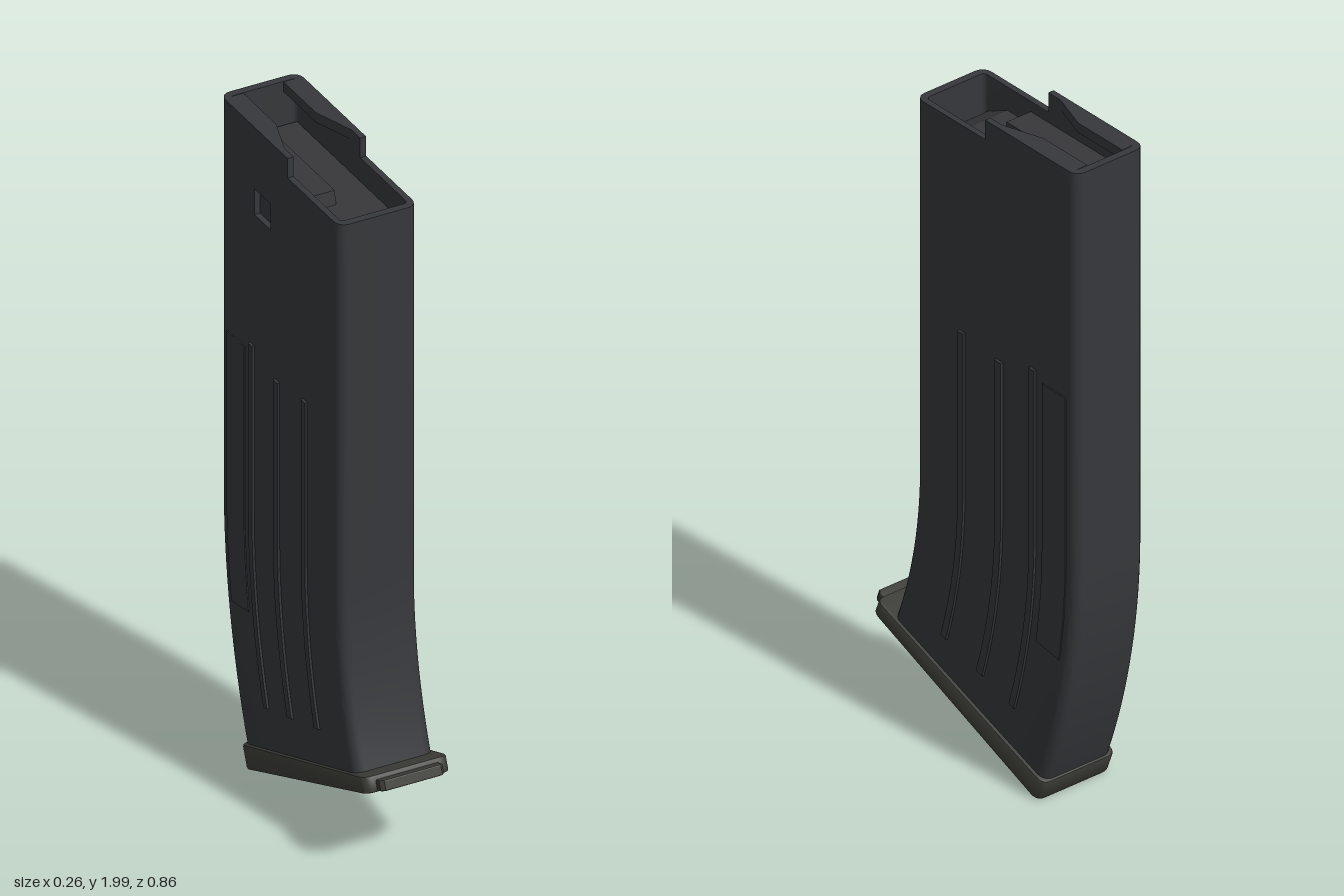
import * as THREE from 'three';
import { toCreasedNormals } from 'three/addons/utils/BufferGeometryUtils.js';

const BEND_Y = 0.81, PIVOT_Z = 1.685, MID_R = 1.78, BOTTOM = 0.17;
const TOP = 2, FRONT_TOP = 1.94, STEP_Z = -0.05;
const WINDOW = { z0: -0.235, z1: -0.145, y0: 1.73, y1: 1.81 };

// Everything is modelled straight; below BEND_Y it is swung forward about a pivot.
function bendPoint([x, y, z]) {
  if (y >= BEND_Y) return [x, y, z];
  const a = (BEND_Y - y) / MID_R, r = PIVOT_Z - z;
  return [x, BEND_Y - r * Math.sin(a), PIVOT_Z - r * Math.cos(a)];
}

function bend(geometry) {
  const p = geometry.attributes.position;
  for (let i = 0; i < p.count; i++) p.setXYZ(i, ...bendPoint([p.getX(i), p.getY(i), p.getZ(i)]));
  return geometry;
}

// Rounded rectangle in x/z with extra points along the two sides
function ring(hw, zb, zf, r) {
  const pts = [], cuts = [STEP_Z, WINDOW.z1, WINDOW.z0], n = 5;
  const corner = (cx, cz, start) => {
    for (let i = 0; i <= n; i++) {
      const t = start - (i / n) * Math.PI / 2;
      pts.push([cx + r * Math.cos(t), cz + r * Math.sin(t)]);
    }
  };
  corner(hw - r, zf - r, Math.PI / 2);
  cuts.forEach(z => pts.push([hw, z]));
  corner(hw - r, zb + r, 0);
  corner(r - hw, zb + r, -Math.PI / 2);
  cuts.slice().reverse().forEach(z => pts.push([-hw, z]));
  corner(r - hw, zf - r, -Math.PI);
  return pts;
}

// Hollow casing: outer wall, inner wall, rim, stepped mouth and side window
function casingGeometry() {
  const pos = [];
  const quad = (a, b, c, d) => [a, b, c, a, c, d].forEach(v => pos.push(...bendPoint(v)));
  const outer = ring(0.118, -0.425, 0.235, 0.03), inner = ring(0.1, -0.402, 0.212, 0.012);
  const rows = [TOP, FRONT_TOP, WINDOW.y1, WINDOW.y0, 1.3, BEND_Y];
  for (let i = 1; i <= 16; i++) rows.push(BEND_Y + (BOTTOM - BEND_Y) * i / 16);
  const N = outer.length;
  const at = (p, y) => [p[0], y, p[1]];
  for (let i = 0; i < N; i++) {
    const k = (i + 1) % N, o = outer[i], o2 = outer[k], n = inner[i], n2 = inner[k];
    const midZ = (o[1] + o2[1]) / 2, isFront = midZ > STEP_Z;
    for (let j = isFront ? 1 : 0; j < rows.length - 1; j++) {
      const y = rows[j], y2 = rows[j + 1];
      const isWindow = j === 2 && o[0] < -0.11 && midZ > WINDOW.z0 && midZ < WINDOW.z1;
      if (!isWindow) quad(at(o, y), at(o, y2), at(o2, y2), at(o2, y));
      if (j < 4) quad(at(n, y), at(n2, y), at(n2, y2), at(n, y2));
    }
    const rimY = isFront ? FRONT_TOP : TOP;
    quad(at(o, rimY), at(o2, rimY), at(n2, rimY), at(n, rimY));
    if (o[1] === STEP_Z) quad(at(o, TOP), at(o, FRONT_TOP), at(n, FRONT_TOP), at(n, TOP));
  }
  const g = new THREE.BufferGeometry();
  g.setAttribute('position', new THREE.Float32BufferAttribute(pos, 3));
  return toCreasedNormals(g, 0.6);
}

const polygon = pts => new THREE.Shape(pts.map(p => new THREE.Vector2(...p)));

// Slab drawn in x/z, extruded downward from yTop
function slab(shape, yTop, depth, bevel = 0) {
  const g = new THREE.ExtrudeGeometry(shape, {
    depth: depth - 2 * bevel, bevelEnabled: bevel > 0, bevelSize: bevel,
    bevelThickness: bevel, bevelOffset: -bevel, bevelSegments: 2, curveSegments: 8,
  });
  return g.rotateX(Math.PI / 2).translate(0, yTop - bevel, 0);
}

// Profile drawn in z/y, extruded across x from x0 to x1
function crossways(shape, x0, x1) {
  const g = new THREE.ExtrudeGeometry(shape, { depth: x1 - x0, bevelEnabled: false });
  return g.rotateY(-Math.PI / 2).translate(x1, 0, 0);
}

// Raised strip on a side wall with sloping edges, following the bend
function strip(side, z0, z1, y0, y1, height, slope) {
  const g = new THREE.BoxGeometry(0.02, y1 - y0, z1 - z0, 1, 30, 1);
  const p = g.attributes.position, h = y1 - y0, w = z1 - z0;
  for (let i = 0; i < p.count; i++) {
    if (p.getX(i) * side < 0) continue;
    p.setY(i, p.getY(i) * (1 - 2 * slope / h));
    p.setZ(i, p.getZ(i) * (1 - 2 * slope / w));
  }
  g.translate(side * (0.108 + height), (y0 + y1) / 2, (z0 + z1) / 2);
  return toCreasedNormals(bend(g), 0.4);
}

export function createModel() {
  const model = new THREE.Group();
  const bodyMat = new THREE.MeshStandardMaterial({ color: 0x36383b, side: THREE.DoubleSide });
  const plateMat = new THREE.MeshStandardMaterial({ color: 0x3d3d38 });
  const followerMat = new THREE.MeshStandardMaterial({ color: 0x38383a });
  const add = (name, geometry, material) => {
    const mesh = new THREE.Mesh(geometry, material);
    mesh.name = name;
    model.add(mesh);
  };

  add('casing', casingGeometry(), bodyMat);

  // Walls of the square recess on the right side
  const { z0, z1, y0, y1 } = WINDOW, e = 0.01;
  const frame = polygon([[z0 - e, y0 - e], [z1 + e, y0 - e], [z1 + e, y1 + e], [z0 - e, y1 + e]]);
  frame.holes.push(polygon([[z0, y0], [z0, y1], [z1, y1], [z1, y0]]));
  add('recessFrame', crossways(frame, -0.1175, -0.1005), bodyMat);

  // Ribs, rear grip panels and feed lips on both sides
  for (const side of [1, -1]) {
    const label = side > 0 ? 'left' : 'right';
    [[0.028, 0.062, 1.31], [-0.127, -0.09, 1.29], [-0.263, -0.23, 1.33]].forEach(([a, b, top], i) =>
      add(`${label}Rib${i + 1}`, strip(side, a, b, 0.28, top, 0.006, 0.006), bodyMat));
    add(`${label}GripPanel`, strip(side, -0.385, -0.283, 0.52, 1.3, 0.003, 0.003), bodyMat);
    const lip = polygon([[0.1, -0.4], [0.06, -0.4], [0.06, -0.22], [0.1, -0.1]].map(([x, z]) => [x * side, z]));
    add(`${label}FeedLip`, slab(lip, TOP, 0.03), bodyMat);
  }

  // Follower with sloping front and a raised half
  add('follower', crossways(polygon([[-0.395, 1.78], [0.195, 1.78], [0.195, 1.83], [0.115, 1.87], [-0.395, 1.87]]), -0.098, 0.098), followerMat);
  add('followerRidge', crossways(polygon([[-0.39, 1.86], [0.03, 1.86], [0.02, 1.91], [-0.39, 1.91]]), -0.098, -0.015), followerMat);

  // Base plate, front tab and oval button underneath
  const plate = new THREE.Shape(), w = 0.128, zb = -0.432, zf = 0.3, r = 0.03;
  plate.moveTo(-w + r, zb).lineTo(w - r, zb).quadraticCurveTo(w, zb, w, zb + r)
    .lineTo(w, zf - r).quadraticCurveTo(w, zf, w - r, zf)
    .lineTo(-w + r, zf).quadraticCurveTo(-w, zf, -w, zf - r)
    .lineTo(-w, zb + r).quadraticCurveTo(-w, zb, -w + r, zb);
  add('basePlate', toCreasedNormals(bend(slab(plate, 0.175, 0.06, 0.007)), 0.6), plateMat);
  const tab = polygon([[-0.095, 0.27], [0.095, 0.27], [0.095, 0.32], [0.085, 0.331], [-0.085, 0.331], [-0.095, 0.32]]);
  add('frontTab', toCreasedNormals(bend(slab(tab, 0.158, 0.04, 0.005)), 0.4), plateMat);
  const oval = new THREE.Shape().absellipse(0, 0, 0.05, 0.12, 0, Math.PI * 2);
  add('baseButton', toCreasedNormals(bend(slab(oval, 0.125, 0.016, 0.003)), 0.6), plateMat);

  return model;
}
